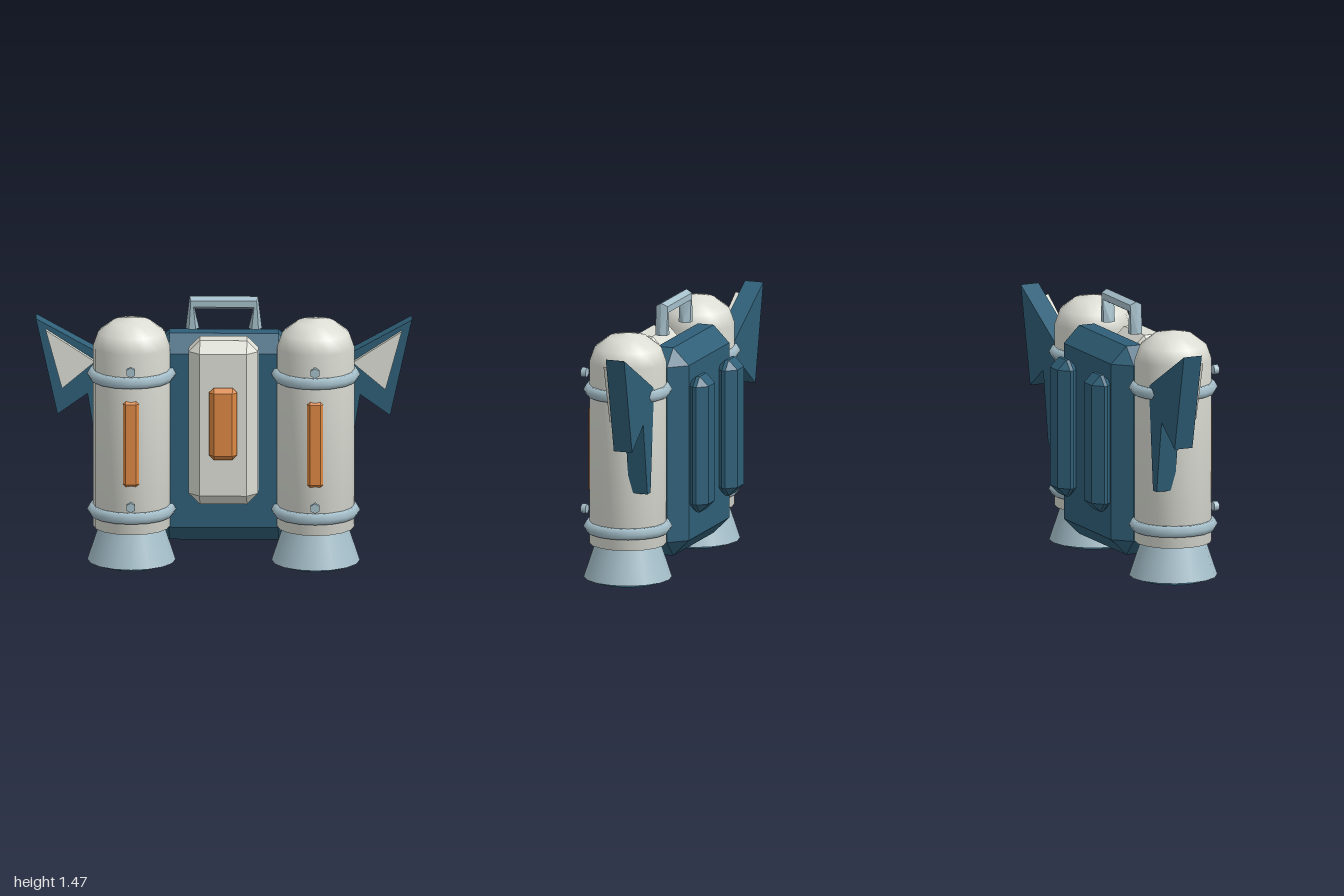
import * as THREE from 'three';
import { ConvexGeometry } from 'three/addons/geometries/ConvexGeometry.js';

const material = (name, color) => {
  const m = new THREE.MeshStandardMaterial({ color });
  m.name = name;
  return m;
};

// Box with every edge cut at 45 degrees by c
function chamferBox(w, h, d, c) {
  const points = [];
  for (const x of [-1, 1]) for (const y of [-1, 1]) for (const z of [-1, 1]) {
    for (let full = 0; full < 3; full++) {
      const inset = [w, h, d].map((size, i) => size / 2 - (i === full ? 0 : c));
      points.push(new THREE.Vector3(x * inset[0], y * inset[1], z * inset[2]));
    }
  }
  return new ConvexGeometry(points);
}

// Flat plate from an outline in x and y, mirrored by side
function plate(outline, side, depth) {
  const shape = new THREE.Shape(outline.map(([x, y]) => new THREE.Vector2(x * side, y)));
  return new THREE.ExtrudeGeometry(shape, { depth, bevelEnabled: false });
}

// Hexagonal cross-section: centre and outward half-width in the xy plane
function hexSection([x, y, nx, ny]) {
  return Array.from({ length: 6 }, (_, i) => {
    const a = i * Math.PI / 3;
    return new THREE.Vector3(x + nx * Math.cos(a), y + ny * Math.cos(a), 0.038 * Math.sin(a));
  });
}

export function createModel() {
  const shell = material('shell grey', 0xdcded5);
  const navy = material('dark blue', 0x2f5f78);
  const steel = material('pale blue metal', 0xa5bfca);
  const orange = material('orange', 0xdd8843);

  const model = new THREE.Group();
  model.name = 'jetpack';
  const add = (parent, name, geometry, mat, x = 0, y = 0, z = 0) => {
    const mesh = new THREE.Mesh(geometry, mat);
    mesh.name = name;
    mesh.position.set(x, y, z);
    parent.add(mesh);
    return mesh;
  };

  // Central pack
  add(model, 'backPack', chamferBox(0.76, 1.135, 0.27, 0.09), navy, 0, 0.6875, -0.08);
  add(model, 'frontPanel', chamferBox(0.37, 0.9, 0.215, 0.06), shell, 0, 0.815, 0.1075);
  add(model, 'frontLight', chamferBox(0.15, 0.395, 0.06, 0.026), orange, 0, 0.828, 0.233);

  // Carrying handle
  const sections = [
    [-0.167, 1.29, -0.036, 0], [-0.168, 1.43, -0.014, 0.035],
    [0.168, 1.43, 0.014, 0.035], [0.167, 1.29, 0.036, 0],
  ].map(hexSection);
  const handle = new THREE.Group();
  handle.name = 'handle';
  handle.position.z = -0.014;
  model.add(handle);
  ['rightHandleLeg', 'handleBar', 'leftHandleLeg'].forEach((name, i) => {
    add(handle, name, new ConvexGeometry([...sections[i], ...sections[i + 1]]), steel);
  });

  // Tank profile: flat bottom, straight wall, flattened dome
  const profile = [[0, 0.22], [0.205, 0.22], [0.205, 1.21]].map(p => new THREE.Vector2(...p));
  for (let i = 1; i <= 3; i++) {
    const a = i * Math.PI / 6;
    profile.push(new THREE.Vector2(i === 3 ? 0 : 0.205 * Math.cos(a), 1.21 + 0.156 * Math.sin(a)));
  }

  const wingOutline = [[0.57, 1.095], [0.62, 0.535], [0.665, 0.535], [0.725, 0.925],
    [0.885, 0.81], [1, 1.335]];
  const wingPanelOutline = [[0.685, 1.108], [0.86, 0.96], [0.947, 1.28]];

  for (const side of [-1, 1]) {
    const label = side > 0 ? 'left' : 'right';

    // Thruster
    const thruster = new THREE.Group();
    thruster.name = label + 'Thruster';
    thruster.position.set(side * 0.49, 0, 0.055);
    model.add(thruster);
    add(thruster, 'tank', new THREE.LatheGeometry(profile, 16), shell);
    add(thruster, 'nozzle', new THREE.CylinderGeometry(0.173, 0.235, 0.187, 16), steel, 0, 0.1285);
    add(thruster, 'nozzleInner', new THREE.CylinderGeometry(0.18, 0.18, 0.03, 16), navy, 0, 0.03);
    add(thruster, 'nozzleGlow', new THREE.CylinderGeometry(0.107, 0.107, 0.03, 16), orange, 0, 0.015);
    add(thruster, 'sideLight', chamferBox(0.085, 0.47, 0.04, 0.015), orange, 0, 0.72, 0.195);
    for (const [ringY, boltY] of [[1.057, 1.128], [0.312, 0.384]]) {
      const ring = add(thruster, 'band', new THREE.TorusGeometry(0.203, 0.034, 6, 16), steel, 0, ringY);
      ring.rotation.x = Math.PI / 2;
      const bolt = add(thruster, 'bolt', new THREE.CylinderGeometry(0.027, 0.027, 0.028, 6), steel, 0, boltY, 0.247);
      bolt.rotation.x = Math.PI / 2;
    }

    // Wing and its front panel
    add(model, label + 'Wing', plate(wingOutline, side, 0.105), navy, 0, 0, -0.127);
    add(model, label + 'WingPanel', plate(wingPanelOutline, side, 0.032), shell, 0, 0, -0.02);

    // Raised rib on the back
    add(model, label + 'BackRib', chamferBox(0.195, 0.742, 0.12, 0.05), navy, side * 0.208, 0.731, -0.253);
  }
  return model;
}
